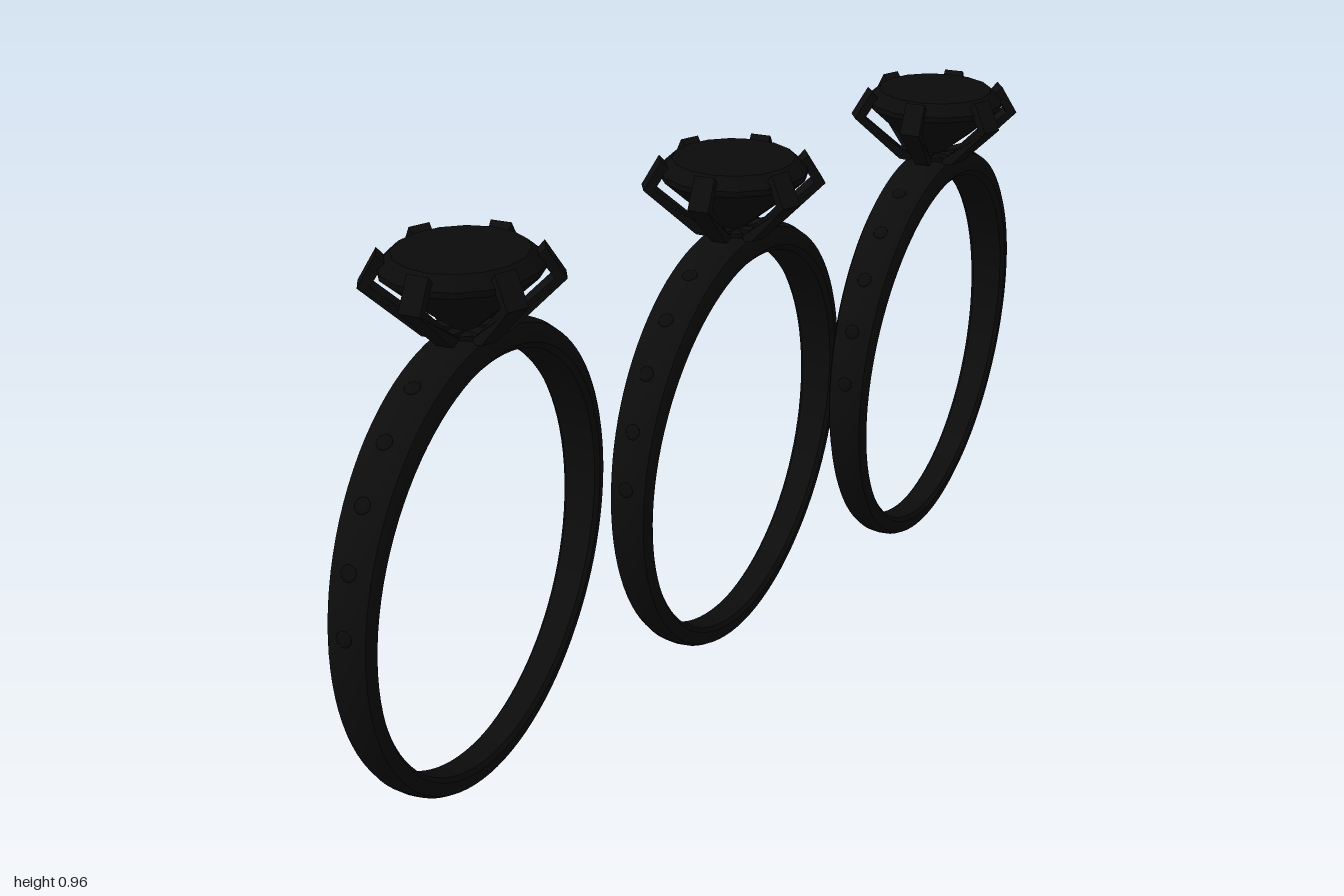
import * as THREE from 'three';
import { toCreasedNormals } from 'three/addons/utils/BufferGeometryUtils.js';

const metal = new THREE.MeshStandardMaterial({ color: 0x0c0c0c });
metal.name = 'black metal';
const stone = new THREE.MeshStandardMaterial({ color: 0x0a0a0a });
stone.name = 'black stone';

// Half width of the band, narrow at the bottom and wide at the top
const halfWidth = (t) => 0.029 + 0.021 * Math.pow((1 + Math.cos(t)) / 2, 1.3);
const outer = (t) => [0.412 + 0.412 * Math.cos(t), 0.4 * Math.sin(t)];
const inner = (t) => [0.405 + 0.365 * Math.cos(t), 0.363 * Math.sin(t)];

// Band swept round the finger: [across, inner-to-outer] section points
function bandGeometry() {
  const section = [[-0.8, 0], [0.8, 0], [1, 0.2], [1, 0.55], [0.85, 0.82], [0.5, 0.96],
    [0, 1], [-0.5, 0.96], [-0.85, 0.82], [-1, 0.55], [-1, 0.2]];
  const steps = 96, n = section.length, pos = [], idx = [];
  for (let i = 0; i < steps; i++) {
    const t = (i / steps) * Math.PI * 2, a = inner(t), b = outer(t), w = halfWidth(t);
    for (const [u, v] of section) {
      pos.push(u * w, a[0] + (b[0] - a[0]) * v, a[1] + (b[1] - a[1]) * v);
    }
  }
  for (let i = 0; i < steps; i++) {
    for (let j = 0; j < n; j++) {
      const k = (j + 1) % n, p = i * n, q = ((i + 1) % steps) * n;
      idx.push(p + j, p + k, q + j, p + k, q + k, q + j);
    }
  }
  const g = new THREE.BufferGeometry();
  g.setAttribute('position', new THREE.Float32BufferAttribute(pos, 3));
  g.setIndex(idx);
  // Make sure the faces point outwards
  const P = (i) => new THREE.Vector3().fromArray(pos, i * 3);
  const normal = P(1).sub(P(0)).cross(P(n).sub(P(0)));
  if (normal.y > 0) {
    for (let i = 0; i < idx.length; i += 3) [idx[i + 1], idx[i + 2]] = [idx[i + 2], idx[i + 1]];
    g.setIndex(idx);
  }
  return toCreasedNormals(g, 0.6);
}

// Faceted cut stone: culet, pavilion, girdle, crown and flat table
function gemGeometry() {
  const profile = [[0, 0.812], [0.075, 0.873], [0.133, 0.926], [0.133, 0.936], [0.11, 0.957], [0, 0.957]];
  const g = new THREE.LatheGeometry(profile.map(([r, y]) => new THREE.Vector2(r, y)), 16);
  return toCreasedNormals(g, 0.05);
}

// Bent claw that rises from the base and folds over the girdle
function prongGeometry() {
  const pts = [[0.015, 0.805], [0.07, 0.82], [0.163, 0.907], [0.131, 0.96],
    [0.118, 0.946], [0.143, 0.908], [0.062, 0.838], [0.015, 0.83]];
  const g = new THREE.ExtrudeGeometry(new THREE.Shape(pts.map(([r, y]) => new THREE.Vector2(r, y))),
    { depth: 0.038, bevelEnabled: false });
  g.translate(0, 0, -0.019);
  // Taper towards the base
  const p = g.attributes.position;
  for (let i = 0; i < p.count; i++) p.setZ(i, p.getZ(i) * (0.45 + 0.55 * Math.min(1, p.getX(i) / 0.13)));
  g.computeVertexNormals();
  return g;
}

export function createModel() {
  const model = new THREE.Group();
  model.name = 'threeRings';
  const band = bandGeometry(), gem = gemGeometry(), prong = prongGeometry();
  const stud = new THREE.SphereGeometry(0.014, 10, 6);
  const collar = new THREE.CylinderGeometry(0.045, 0.04, 0.04, 20);

  const add = (parent, name, geometry, material) => {
    const mesh = new THREE.Mesh(geometry, material);
    mesh.name = name;
    parent.add(mesh);
    return mesh;
  };

  // Position along z and turn of each ring in degrees
  for (const [z, yaw] of [[0.615, 19], [-0.015, 14.5], [-0.607, 14.5]]) {
    const ring = new THREE.Group();
    ring.name = 'ring';
    ring.position.z = z;
    const shank = new THREE.Group();
    shank.name = 'shank';
    shank.rotation.y = THREE.MathUtils.degToRad(yaw);
    add(shank, 'band', band, metal);
    // Small stones set nearly flush along both shoulders
    for (const side of [-1, 1]) {
      for (let i = 0; i < 5; i++) {
        const t = side * (0.42 + i * 0.25), [y, dz] = outer(t);
        const s = add(shank, 'shoulderStone', stud, stone);
        s.position.set(0, y, dz);
        s.rotation.x = t;
        s.scale.y = 0.2;
      }
    }
    ring.add(shank);

    // Setting with six claws holding the stone
    const setting = new THREE.Group();
    setting.name = 'setting';
    add(setting, 'collar', collar, metal).position.y = 0.808;
    add(setting, 'gem', gem, stone);
    for (let i = 0; i < 6; i++) {
      add(setting, 'prong', prong, metal).rotation.y = -THREE.MathUtils.degToRad(10 + i * 60);
    }
    ring.add(setting);
    model.add(ring);
  }
  return model;
}
